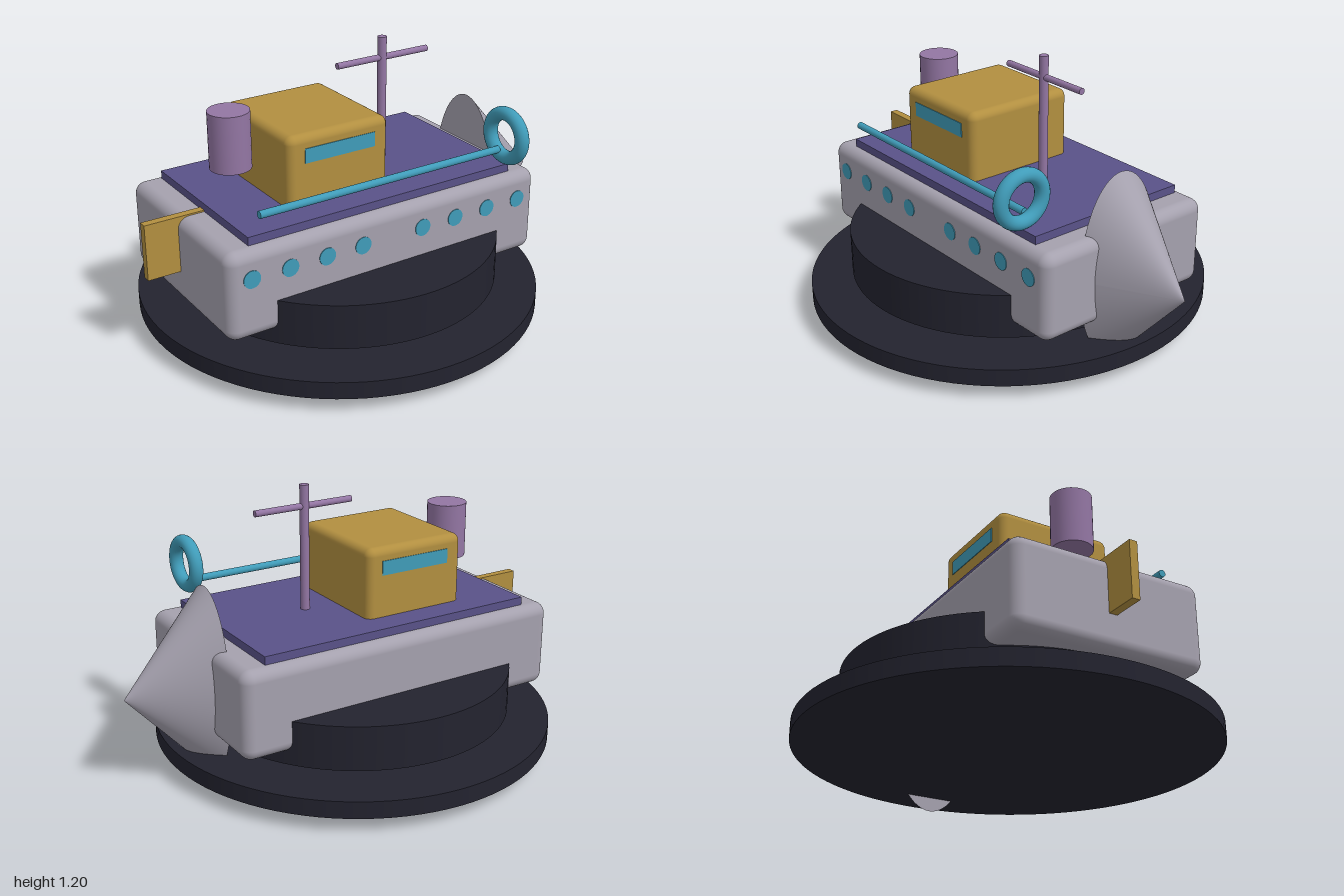
import * as THREE from 'three';
import { RoundedBoxGeometry } from 'three/addons/geometries/RoundedBoxGeometry.js';

const paint = (name, hex) => {
  const m = new THREE.MeshStandardMaterial({ color: hex });
  m.name = name;
  return m;
};

export function createModel() {
  const grey = paint('hull grey', 0xa5a1ae);
  const dark = paint('near black', 0x23232f);
  const gold = paint('ochre', 0xb28f40);
  const violet = paint('deck violet', 0x595288);
  const teal = paint('teal', 0x409cb9);
  const mauve = paint('mauve', 0x9376a3);

  const boat = new THREE.Group();
  boat.name = 'boat';

  const add = (name, geometry, material, x, y, z) => {
    const mesh = new THREE.Mesh(geometry, material);
    mesh.name = name;
    mesh.position.set(x, y, z);
    boat.add(mesh);
    return mesh;
  };
  const rod = (radius, length, sides = 24) => new THREE.CylinderGeometry(radius, radius, length, sides);
  const rodX = (radius, length) => rod(radius, length).rotateZ(-Math.PI / 2);

  // Round base plate and the drum that floats above it, both slightly oval
  add('basePlate', rod(1, 0.075, 96).scale(0.88, 1, 0.9), dark, -0.086, 0.102, 0);
  add('drum', rod(1, 0.195, 96).scale(0.698, 1, 0.715), dark, -0.086, 0.272, 0);

  // Hull, deck and flattened bow cone
  add('hull', new RoundedBoxGeometry(1.535, 0.385, 0.866, 5, 0.05), grey, -0.087, 0.422, 0);
  add('deck', new THREE.BoxGeometry(1.295, 0.05, 0.768), violet, -0.088, 0.625, 0);
  const cone = new THREE.ConeGeometry(1, 0.375, 64, 8).rotateZ(-Math.PI / 2).scale(1, 0.42, 0.209);
  cone.computeVertexNormals();
  add('bow', cone, grey, 0.8125, 0.42, 0);

  // Stern rudder
  add('rudder', new THREE.BoxGeometry(0.3, 0.246, 0.036), gold, -0.85, 0.498, 0);

  // Cabin with a window on each long side
  add('cabin', new RoundedBoxGeometry(0.482, 0.345, 0.53, 4, 0.035), gold, -0.239, 0.782, 0);
  for (const side of [1, -1]) {
    add('cabinWindow', new THREE.BoxGeometry(0.335, 0.063, 0.008), teal, -0.236, 0.867, side * 0.264);
  }

  // Two groups of four portholes on the front side
  for (const start of [-0.75, 0.062]) {
    for (let i = 0; i < 4; i++) {
      add('porthole', rod(0.038, 0.008).rotateX(Math.PI / 2), teal, start + i * 0.171, 0.496, 0.432);
    }
  }

  // Funnel, mast and yard
  add('funnel', rod(0.088, 0.247, 32), mauve, -0.597, 0.896, 0);
  add('mast', rod(0.02, 0.57), mauve, 0.15, 0.914, 0);
  add('yard', rodX(0.014, 0.465), mauve, 0.153, 1.106, 0);

  // Handrail and lifebuoy
  add('handrail', rodX(0.016, 1.18), teal, -0.095, 0.733, 0.386);
  const ring = new THREE.TorusGeometry(0.1, 0.031, 20, 48).rotateY(Math.PI / 2);
  add('lifebuoy', ring.scale(1, 0.98, 1.02), teal, 0.512, 0.801, 0.413);

  return boat;
}
